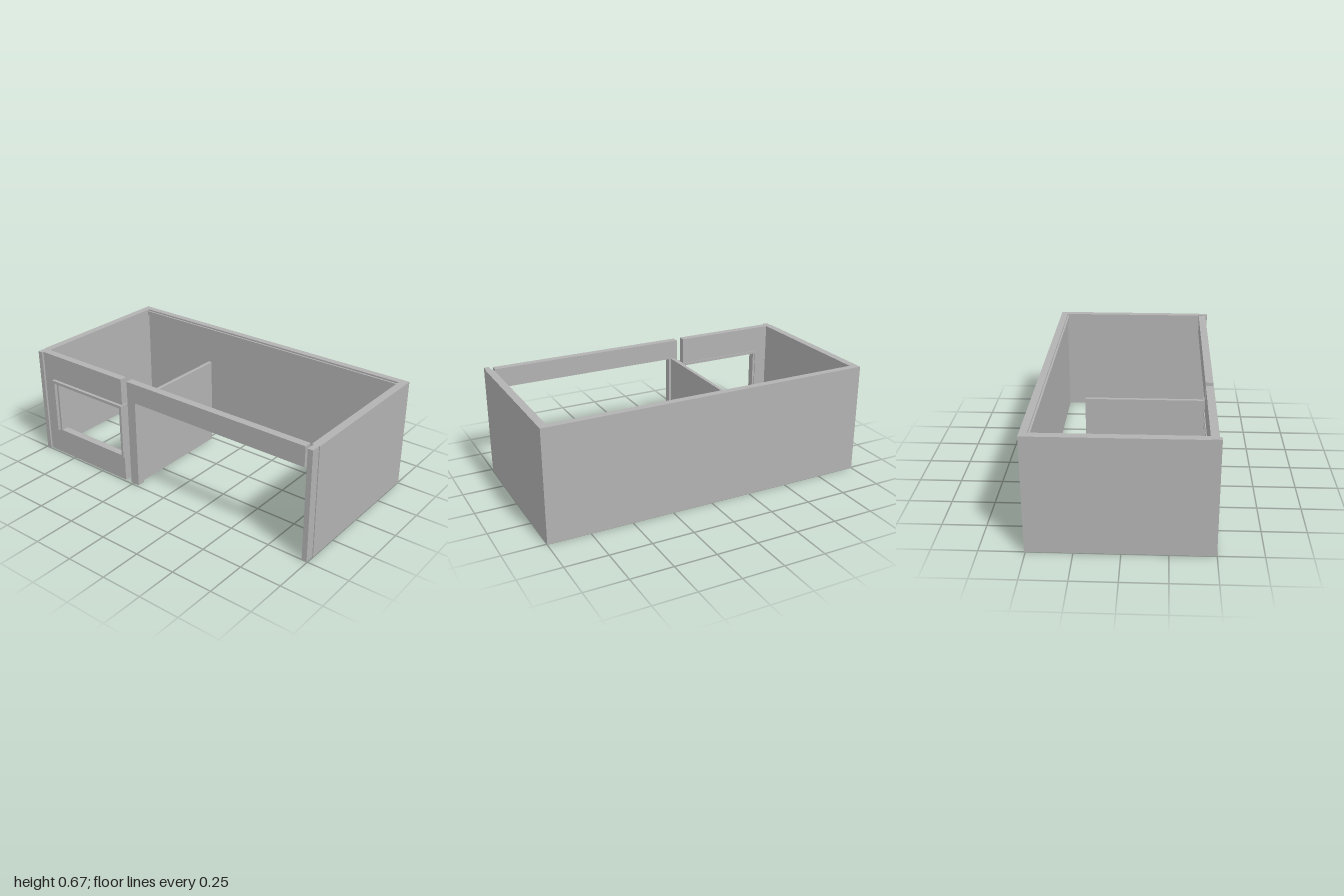
import * as THREE from 'three';

export function createModel() {
  const group = new THREE.Group();
  group.name = 'roomShell';
  const grey = new THREE.MeshStandardMaterial({ color: 0xb2b2b2 });
  grey.name = 'wallGrey';

  // box given by its extents on each axis
  const box = (name, [x0, x1], [y0, y1], [z0, z1]) => {
    const mesh = new THREE.Mesh(new THREE.BoxGeometry(x1 - x0, y1 - y0, z1 - z0), grey);
    mesh.position.set((x0 + x1) / 2, (y0 + y1) / 2, (z0 + z1) / 2);
    mesh.name = name;
    group.add(mesh);
  };
  // flat panel in the front wall, extruded along z
  const panel = (name, points, hole) => {
    const vec = (list) => list.map(([x, y]) => new THREE.Vector2(x, y));
    const shape = new THREE.Shape(vec(points));
    if (hole) shape.holes.push(new THREE.Path(vec(hole)));
    const geometry = new THREE.ExtrudeGeometry(shape, { depth: FRONT[1] - FRONT[0], bevelEnabled: false });
    geometry.translate(0, 0, FRONT[0]);
    const mesh = new THREE.Mesh(geometry, grey);
    mesh.name = name;
    group.add(mesh);
  };

  const H = 0.67, FRONT = [0.443, 0.488];

  // outer walls
  box('backWall', [-1, 1], [0, H], [-0.507, -0.465]);
  box('backRail', [-0.956, 0.956], [0.632, 0.66], [-0.465, -0.454]);
  for (const s of [-1, 1]) {
    const span = (a, b) => (s > 0 ? [a, b] : [-b, -a]);
    const side = s > 0 ? 'left' : 'right';
    box(side + 'Wall', span(0.954, 1), [0, H], [-0.465, 0.445]);
    box(side + 'FrontPost', span(0.964, 0.995), [0, H], [0.445, 0.5]);
  }

  // front wall: window panel, then a leg with a header over the wide opening
  panel('windowPanel',
    [[-0.964, 0], [-0.312, 0], [-0.312, H], [-0.964, H]],
    [[-0.855, 0.163], [-0.855, 0.49], [-0.322, 0.49], [-0.322, 0.163]]);
  panel('doorwayPanel',
    [[-0.266, 0], [-0.208, 0], [-0.208, 0.55], [0.944, 0.55], [0.944, H], [-0.266, H]]);

  // window trim on three sides
  const trimZ = [0.438, 0.507];
  box('windowTrimRight', [-0.885, -0.869], [0.163, 0.49], trimZ);
  box('windowTrimLeft', [-0.32, -0.304], [0.163, 0.49], trimZ);
  box('windowTrimTop', [-0.885, -0.304], [0.49, 0.507], trimZ);

  // inner partition
  box('partition', [-0.247, -0.225], [0, 0.55], [-0.24, 0.443]);

  return group;
}
